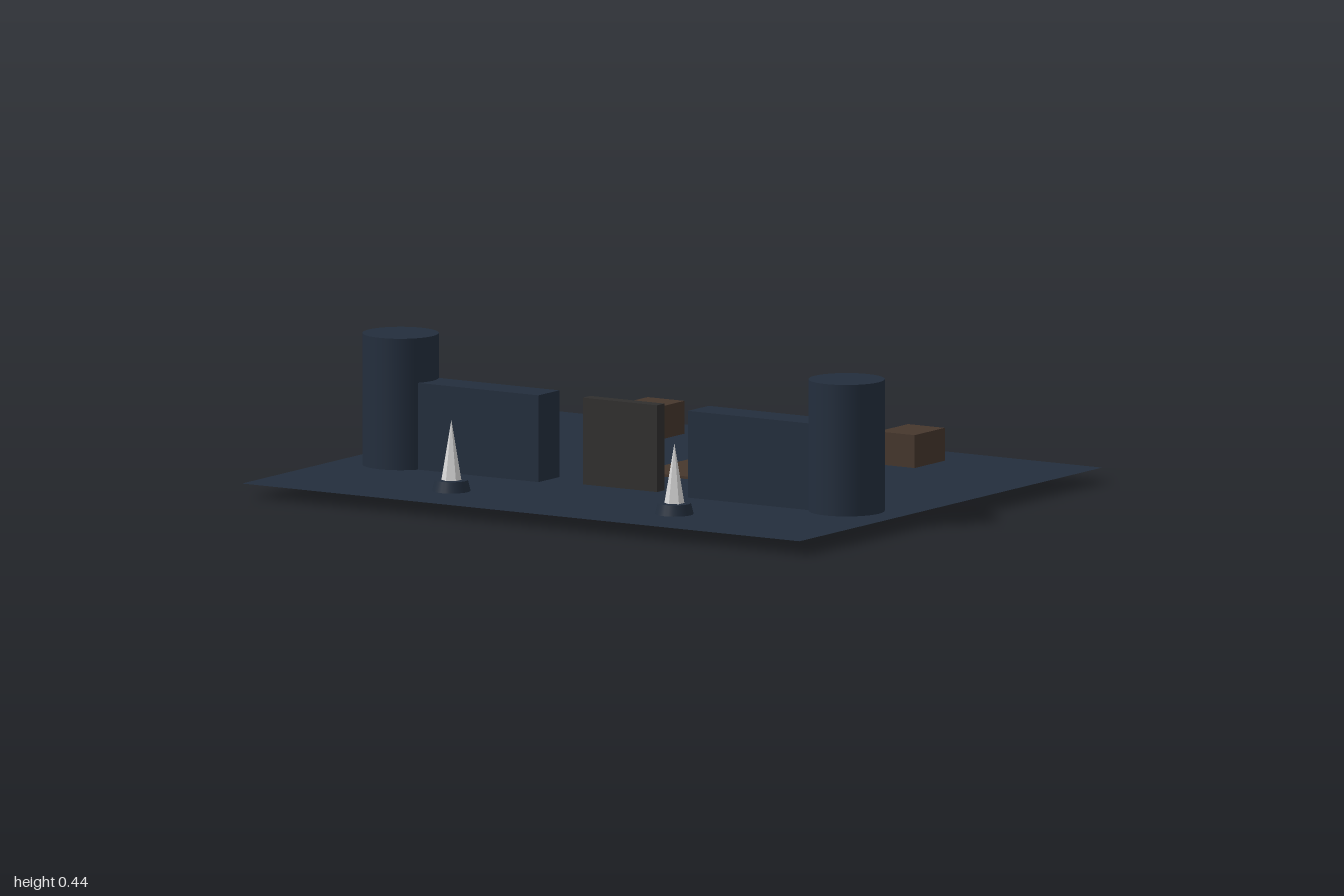
import * as THREE from 'three';

export function createModel() {
  const model = new THREE.Group();
  const make = (name, color) => {
    const m = new THREE.MeshStandardMaterial({ color });
    m.name = name;
    return m;
  };
  const stone = make('dark slate', 0x232e3d);
  const wood = make('dark wood', 0x46372d);
  const iron = make('dark iron', 0x302f2e);
  const lava = make('lava orange', 0xd9683f);
  const pale = make('pale grey', 0xd8d8d8);
  const ground = stone.clone();
  ground.name = 'slate ground';
  ground.side = THREE.DoubleSide;
  pale.flatShading = true;

  const G = 0.042; // ground level
  const add = (name, geometry, material, x, y, z) => {
    const mesh = new THREE.Mesh(geometry, material);
    mesh.name = name;
    mesh.position.set(x, y, z);
    model.add(mesh);
    return mesh;
  };
  // Box standing on height y
  const box = (name, material, w, h, d, x, y, z) =>
    add(name, new THREE.BoxGeometry(w, h, d), material, x, y + h / 2, z);

  // Ground sheet and the trench slung below it
  add('ground', new THREE.PlaneGeometry(2, 1.664).rotateX(-Math.PI / 2), ground, 0, G, 0);
  box('lavaTrench', lava, 1.664, 0.041, 0.265, 0, 0, -0.133);

  // Bridge and gate on the centre line
  box('bridge', wood, 0.2, 0.014, 0.332, 0, 0.036, -0.134);
  box('gate', iron, 0.266, 0.264, 0.04, 0, G, 0.266);

  // Mirrored towers, walls, crates and torches
  for (const [side, s] of [['left', 1], ['right', -1]]) {
    add(side + 'Tower', new THREE.CylinderGeometry(0.115, 0.115, 0.4, 32), stone, s * 0.8, G + 0.2, 0.266);
    box(side + 'Wall', stone, 0.53, 0.264, 0.114, s * 0.533, G, 0.266);
    box(side + 'Crate', wood, 0.132, 0.1, 0.166, s * 0.467, G, -0.6);
    add(side + 'TorchBase', new THREE.CylinderGeometry(0.05, 0.058, 0.033, 24), stone, s * 0.4, G + 0.0165, 0.6);
    add(side + 'TorchSpike', new THREE.ConeGeometry(0.033, 0.2, 6), pale, s * 0.4, 0.157, 0.6);
  }
  return model;
}
